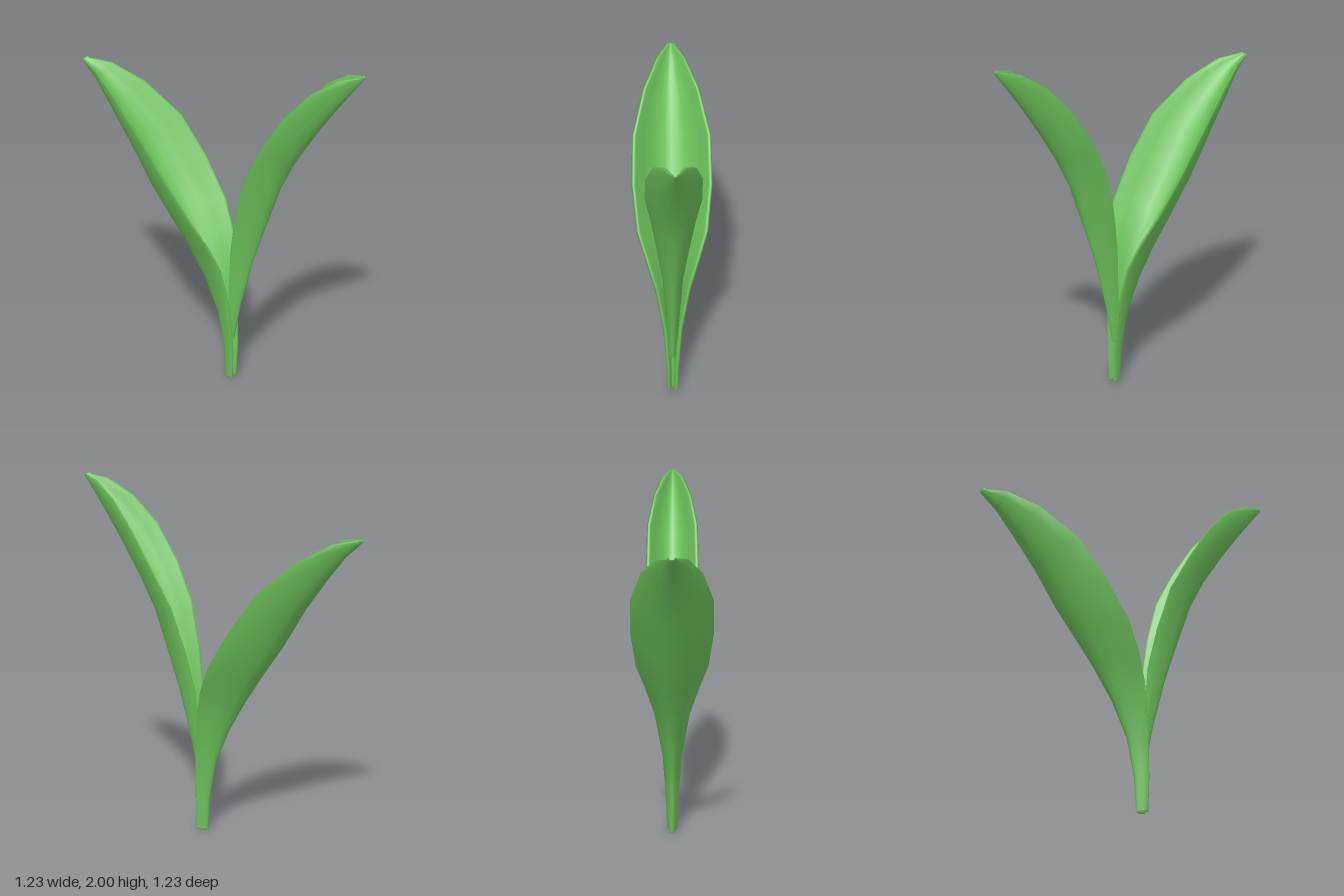
import * as THREE from 'three';

// Leaf stations from base to tip: [keel reach, keel height, rim reach, rim height, half width]
const TALL = [
  [0.115, 0.265, 0.08, 0.27, 0.025],
  [0.160, 0.50, 0.10, 0.53, 0.037],
  [0.237, 0.80, 0.122, 0.84, 0.058],
  [0.303, 1.00, 0.165, 1.06, 0.088],
  [0.395, 1.27, 0.235, 1.31, 0.122],
  [0.485, 1.45, 0.343, 1.52, 0.150],
  [0.600, 1.63, 0.474, 1.73, 0.145],
  [0.705, 1.78, 0.610, 1.88, 0.110],
  [0.795, 1.90, 0.750, 1.97, 0.062],
  [0.860, 1.985, 0.840, 1.993, 0.022],
];
const BROAD = [
  [-0.060, 0.012, -0.115, 0.02, 0.030],
  [-0.050, 0.20, -0.120, 0.20, 0.036],
  [-0.008, 0.42, -0.110, 0.46, 0.055],
  [0.075, 0.62, -0.075, 0.72, 0.100],
  [0.175, 0.80, -0.020, 0.88, 0.150],
  [0.270, 0.95, 0.057, 1.03, 0.200],
  [0.400, 1.14, 0.200, 1.25, 0.226],
  [0.530, 1.36, 0.360, 1.47, 0.220],
  [0.660, 1.54, 0.560, 1.65, 0.160],
  [0.770, 1.68, 0.730, 1.753, 0.085],
  [0.862, 1.765, 0.845, 1.777, 0.026],
];
const N = 10;            // divisions across the blade
const L = 2 * N + 4;     // points around one closed section
const WALL = 0.03;       // blade thickness

// One closed, cupped section: outer curve, rim, inner curve, rim
function section([mu, my, eu, ey, s]) {
  const keel = new THREE.Vector3(mu, my, 0);
  const rise = new THREE.Vector3(eu - mu, ey - my, 0);
  const depth = rise.length();
  const up = rise.clone().normalize();
  const wall = Math.min(WALL, depth * 0.5);
  const inset = Math.min(0.022, s * 0.5);
  const outer = (t) => keel.clone().addScaledVector(rise, t * t).setZ(s * t);
  const inner = (t) => keel.clone().addScaledVector(up, wall + (depth - wall) * t * t).setZ((s - inset) * t);
  const rim = (side) => outer(side).lerp(inner(side), 0.5).addScaledVector(up, 0.007);
  const ring = [];
  for (let k = 0; k <= N; k++) ring.push(outer(2 * k / N - 1));
  ring.push(rim(1));
  for (let k = N; k >= 0; k--) ring.push(inner(2 * k / N - 1));
  ring.push(rim(-1));
  return ring;
}

// Folds a section flat onto its middle so the blade closes with a rounded end
function closedEnd(ring, dx, dy) {
  return ring.map((p, j) => {
    const mate = ring[j <= 2 * N + 2 ? 2 * N + 2 - j : j];
    return p.clone().lerp(mate, 0.5).add(new THREE.Vector3(dx, dy, 0));
  });
}

function leafGeometry(stations) {
  const rings = stations.map(section);
  rings.unshift(closedEnd(rings[0], 0, -0.012));
  rings.push(closedEnd(rings[rings.length - 1], 0.008, 0.008));
  const index = [];
  for (let i = 0; i < rings.length - 1; i++) {
    for (let j = 0; j < L; j++) {
      const a = i * L + j, c = i * L + (j + 1) % L;
      index.push(a, a + L, c, c, a + L, c + L);
    }
  }
  const geometry = new THREE.BufferGeometry().setFromPoints(rings.flat());
  geometry.setIndex(index);
  geometry.computeVertexNormals();
  return geometry;
}

export function createModel() {
  const group = new THREE.Group();
  group.name = 'sprout';
  const leafGreen = new THREE.MeshStandardMaterial({ color: 0x6cc25a });
  leafGreen.name = 'leaf green';

  // Two leaves spreading in opposite diagonal directions
  const leaves = [['broadLeaf', BROAD, Math.PI * 0.75], ['tallLeaf', TALL, -Math.PI / 4]];
  for (const [name, stations, turn] of leaves) {
    const leaf = new THREE.Mesh(leafGeometry(stations), leafGreen);
    leaf.name = name;
    leaf.rotation.y = turn;
    group.add(leaf);
  }
  return group;
}
